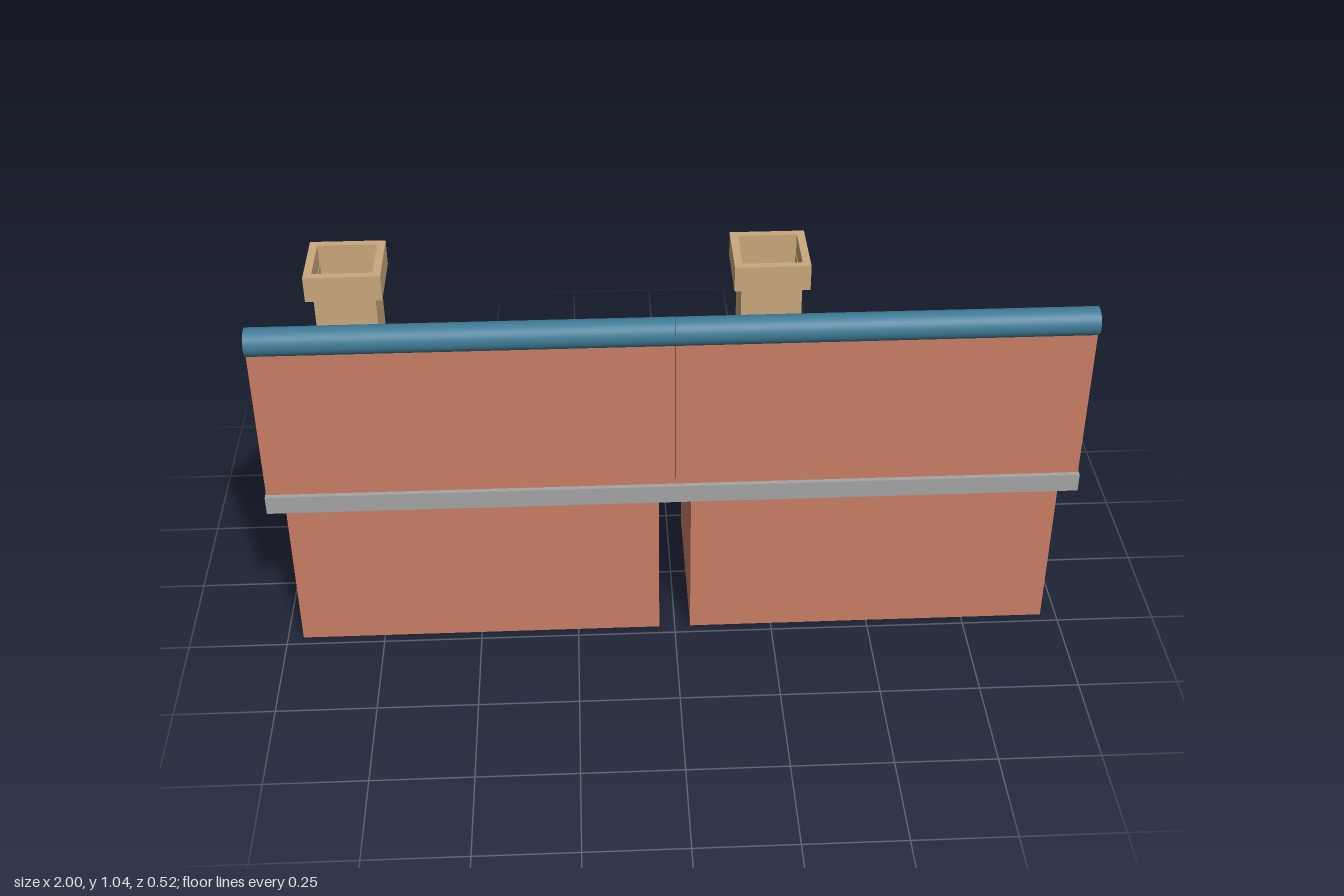
import * as THREE from 'three';
import { toCreasedNormals } from 'three/addons/utils/BufferGeometryUtils.js';

const mat = (name, color) => {
  const m = new THREE.MeshStandardMaterial({ color });
  m.name = name;
  return m;
};

export function createModel() {
  const brick = mat('terracotta wall', 0xc97d65);
  const stone = mat('grey stone', 0xa5a5a5);
  const tileBlue = mat('blue tile', 0x3f7b96);
  const tan = mat('tan chimney', 0xc9a87c);
  const wood = mat('dark wood', 0x4f301d);
  const glassBlue = mat('blue glass', 0x3a7088);

  const model = new THREE.Group();
  model.name = 'house';

  const add = (name, geometry, material, x, y, z, parent = model) => {
    const mesh = new THREE.Mesh(geometry, material);
    mesh.name = name;
    mesh.position.set(x, y, z);
    parent.add(mesh);
    return mesh;
  };

  const rect = (Type, x0, y0, x1, y1) => {
    const p = new Type();
    p.moveTo(x0, y0);
    p.lineTo(x1, y0);
    p.lineTo(x1, y1);
    p.lineTo(x0, y1);
    p.closePath();
    return p;
  };

  const extrude = (shape, depth, curveSegments = 12) =>
    new THREE.ExtrudeGeometry(shape, { depth, bevelEnabled: false, curveSegments });

  // Upright rectangular tube, open at the top and bottom
  const tube = (w, d, h, t) => {
    const s = rect(THREE.Shape, -w / 2, -d / 2, w / 2, d / 2);
    s.holes.push(rect(THREE.Path, -w / 2 + t, -d / 2 + t, w / 2 - t, d / 2 - t));
    return extrude(s, h).rotateX(-Math.PI / 2);
  };

  // Ground floor blocks and the upper storey with its sloping top
  const gable = new THREE.Shape();
  gable.moveTo(-0.249, 0.477);
  gable.lineTo(0.22, 0.477);
  gable.lineTo(0.22, 0.585);
  gable.lineTo(-0.249, 0.905);
  gable.closePath();
  const upperGeo = extrude(gable, 0.997).rotateY(Math.PI / 2);
  for (const side of [-1, 1]) {
    add('lowerWalls', tube(0.92, 0.45, 0.43, 0.005), brick, side * 0.5, 0, 0);
    add('upperWalls', upperGeo, brick, side < 0 ? -0.998 : 0.001, 0, 0);
  }

  // Stone ledge between the storeys
  add('ledge', new THREE.BoxGeometry(2, 0.048, 0.522), stone, 0, 0.453, 0);

  // Ridge rolls
  const ridgeGeo = new THREE.CylinderGeometry(0.0345, 0.0345, 0.999, 32).rotateZ(Math.PI / 2);
  for (const side of [-1, 1]) add('ridge', ridgeGeo, tileBlue, side * 0.5, 0.9035, 0.229);

  // Arched roof tile, running uphill from its lower end
  const arch = new THREE.Shape();
  const halfW = 0.0442, rise = 0.02, thick = 0.005;
  arch.moveTo(halfW, 0);
  arch.absellipse(0, 0, halfW, rise, 0, Math.PI, false, 0);
  arch.lineTo(-halfW + thick, 0);
  arch.absellipse(0, 0, halfW - thick, rise - thick, Math.PI, 0, true, 0);
  arch.closePath();
  const tileGeo = toCreasedNormals(extrude(arch, 0.08, 12), 0.8);

  // Seven overlapping rows of twenty-two tiles
  const roof = new THREE.Group();
  roof.name = 'roofTiles';
  model.add(roof);
  const pitch = 0.518, columns = 22;
  for (let row = 0; row < 7; row++) {
    const y = 0.861 - 0.0452 * row - rise * Math.cos(pitch);
    const z = 0.137 - 0.0657 * row + rise * Math.sin(pitch);
    for (let i = 0; i < columns; i++) {
      const x = -1 + (i + 0.5) * 2 / columns;
      add('tile', tileGeo, tileBlue, x, y, z, roof).rotation.x = -pitch;
    }
  }

  // Hollow chimneys with a wider cap
  for (const x of [-0.769, 0.231]) {
    const chimney = new THREE.Group();
    chimney.name = 'chimney';
    chimney.position.set(x, 0, 0.0915);
    model.add(chimney);
    add('stack', tube(0.144, 0.14, 0.25, 0.003), tan, 0, 0.74, 0, chimney);
    add('cap', tube(0.179, 0.172, 0.064, 0.019), tan, 0, 0.9765, 0, chimney);
  }

  // Window with a raised frame, set through the wall and facing local +z
  const addWindow = (name, w, h, panes, x, y, z, turn) => {
    const g = new THREE.Group();
    g.name = name;
    g.position.set(x, y, z);
    g.rotation.y = turn;
    model.add(g);
    const f = 0.019, paneH = (h - f * (panes + 1)) / panes;
    const s = rect(THREE.Shape, -w / 2, -h / 2, w / 2, h / 2);
    for (let i = 0; i < panes; i++) {
      const y0 = -h / 2 + f + i * (paneH + f);
      s.holes.push(rect(THREE.Path, -w / 2 + f, y0, w / 2 - f, y0 + paneH));
    }
    add('windowFrame', extrude(s, 0.017), wood, 0, 0, -0.01, g);
    add('windowGlass', new THREE.BoxGeometry(w - f, h - f, 0.009), glassBlue, 0, 0, -0.0025, g);
  };
  addWindow('backDoubleWindow', 0.152, 0.193, 2, -0.305, 0.2315, -0.225, Math.PI);
  addWindow('backSmallWindow', 0.062, 0.103, 1, -0.499, 0.277, -0.225, Math.PI);
  addWindow('backSingleWindow', 0.152, 0.193, 1, -0.689, 0.2315, -0.225, Math.PI);
  addWindow('sideDoubleWindow', 0.146, 0.193, 2, -0.96, 0.2315, 0, -Math.PI / 2);

  return model;
}
